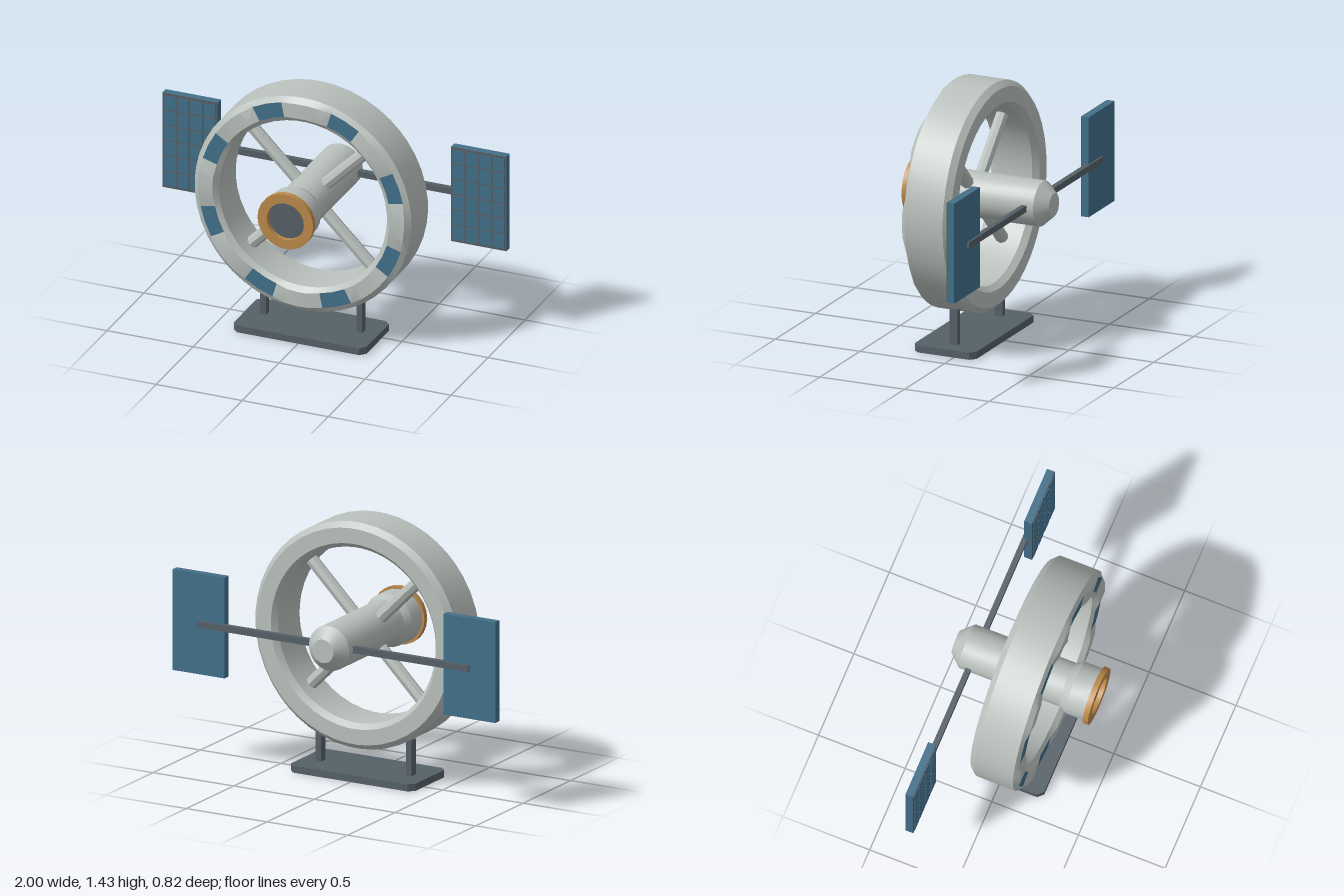
import * as THREE from 'three';
import { toCreasedNormals } from 'three/addons/utils/BufferGeometryUtils.js';

const material = (name, color) => {
  const m = new THREE.MeshStandardMaterial({ color });
  m.name = name;
  return m;
};
const CENTRE_Y = 0.8;
const RAD = Math.PI / 180;

export function createModel() {
  const hull = material('hull grey', 0xbac1bd);
  const slate = material('slate', 0x566168);
  const blue = material('panel blue', 0x42708a);
  const orange = material('copper orange', 0xbd8a4a);

  const root = new THREE.Group();
  root.name = 'spaceStation';
  const station = new THREE.Group();
  station.name = 'station';
  station.position.y = CENTRE_Y;
  root.add(station);

  const add = (parent, name, geometry, mat, x = 0, y = 0, z = 0) => {
    const mesh = new THREE.Mesh(geometry, mat);
    mesh.name = name;
    mesh.position.set(x, y, z);
    parent.add(mesh);
    return mesh;
  };
  const box = (parent, name, size, mat, x, y, z) =>
    add(parent, name, new THREE.BoxGeometry(...size), mat, x, y, z);
  // Turned part along the z axis from [radius, z] points
  const turned = (name, points, mat) => {
    const g = new THREE.LatheGeometry(points.map(p => new THREE.Vector2(...p)), 24);
    g.rotateX(Math.PI / 2);
    return add(station, name, toCreasedNormals(g, 0.35), mat);
  };

  // Habitat ring: chamfered section swept round, front face dented at each window
  const section = [[0.63, -0.05], [0.63, 0.175], [0.6, 0.205], [0.515, 0.205],
    [0.488, 0.175], [0.488, -0.05], [0.515, -0.082], [0.6, -0.082]];
  const FRONT = 2;
  const steps = [-22.5, -16, -8.5, 0, 8.5, 16];
  const columns = [];
  for (let k = 0; k < 8; k++) {
    for (const d of steps) {
      columns.push({ a: (20 + 45 * k + d) * RAD, dent: Math.abs(d) < 10 ? 0.013 : 0 });
    }
  }
  const ringPoints = [], windowPoints = [];
  const point = (i, j) => {
    const [r, z] = section[i % 8];
    const { a, dent } = columns[j % columns.length];
    const front = i % 8 === FRONT || i % 8 === FRONT + 1;
    return [r * Math.cos(a), r * Math.sin(a), z - (front ? dent : 0)];
  };
  for (let j = 0; j < columns.length; j++) {
    const next = columns[(j + 1) % columns.length];
    for (let i = 0; i < 8; i++) {
      const isWindow = i === FRONT && columns[j].dent > 0 && next.dent > 0;
      const A = point(i, j), B = point(i, j + 1), C = point(i + 1, j + 1), D = point(i + 1, j);
      (isWindow ? windowPoints : ringPoints).push(...A, ...B, ...C, ...A, ...C, ...D);
    }
  }
  const fromPoints = pts => {
    const g = new THREE.BufferGeometry();
    g.setAttribute('position', new THREE.Float32BufferAttribute(pts, 3));
    return toCreasedNormals(g, 0.5);
  };
  add(station, 'habitatRing', fromPoints(ringPoints), hull);
  add(station, 'ringWindows', fromPoints(windowPoints), blue);

  // Hub with tapered tail and flared nose
  turned('hub', [[0, -0.41], [0.065, -0.41], [0.125, -0.345], [0.125, 0.235],
    [0.148, 0.28], [0.148, 0.386], [0, 0.386]], hull);
  turned('dockingCollar', [[0.108, 0.385], [0.162, 0.385], [0.162, 0.415],
    [0.108, 0.415], [0.108, 0.385]], orange);
  add(station, 'dockingPort', new THREE.CircleGeometry(0.109, 24), slate, 0, 0, 0.389);

  // Diagonal spokes
  for (let k = 0; k < 4; k++) {
    const a = (45 + 90 * k) * RAD;
    const g = new THREE.CylinderGeometry(0.035, 0.035, 0.4, 8);
    const spoke = add(station, 'spoke', toCreasedNormals(g, 0.5), hull,
      0.305 * Math.cos(a), 0.305 * Math.sin(a), 0.06);
    spoke.rotation.z = a - Math.PI / 2;
  }

  // Solar wings: cross boom, backing panels and cells
  box(station, 'solarBoom', [1.68, 0.036, 0.03], slate, 0, 0, -0.29);
  for (const side of [-1, 1]) {
    const wing = new THREE.Group();
    wing.name = side > 0 ? 'leftSolarWing' : 'rightSolarWing';
    wing.position.set(side * 0.839, 0, 0);
    station.add(wing);
    box(wing, 'solarPanel', [0.322, 0.56, 0.041], blue, 0, 0, -0.2735);
    box(wing, 'solarGrid', [0.322, 0.56, 0.004], slate, 0, 0, -0.251);
    for (let c = 0; c < 4; c++) {
      for (let r = 0; r < 6; r++) {
        box(wing, 'solarCell', [0.066, 0.078, 0.005], blue,
          (c - 1.5) * 0.078, (r - 2.5) * 0.09, -0.2475);
      }
    }
  }

  // Stand: plate with cut corners and two posts
  const w = 0.385, d = 0.182, cut = 0.03;
  const outline = new THREE.Shape([
    [w - cut, -d], [w, -d + cut], [w, d - cut], [w - cut, d],
    [-w + cut, d], [-w, d - cut], [-w, -d + cut], [-w + cut, -d],
  ].map(p => new THREE.Vector2(...p)));
  const plate = new THREE.ExtrudeGeometry(outline, { depth: 0.04, bevelEnabled: false });
  plate.rotateX(-Math.PI / 2);
  add(root, 'standBase', plate, slate, 0, 0, 0.062);
  for (const side of [-1, 1]) {
    box(root, 'standPost', [0.034, 0.22, 0.046], slate, side * 0.28, 0.13, 0.043);
  }

  return root;
}
